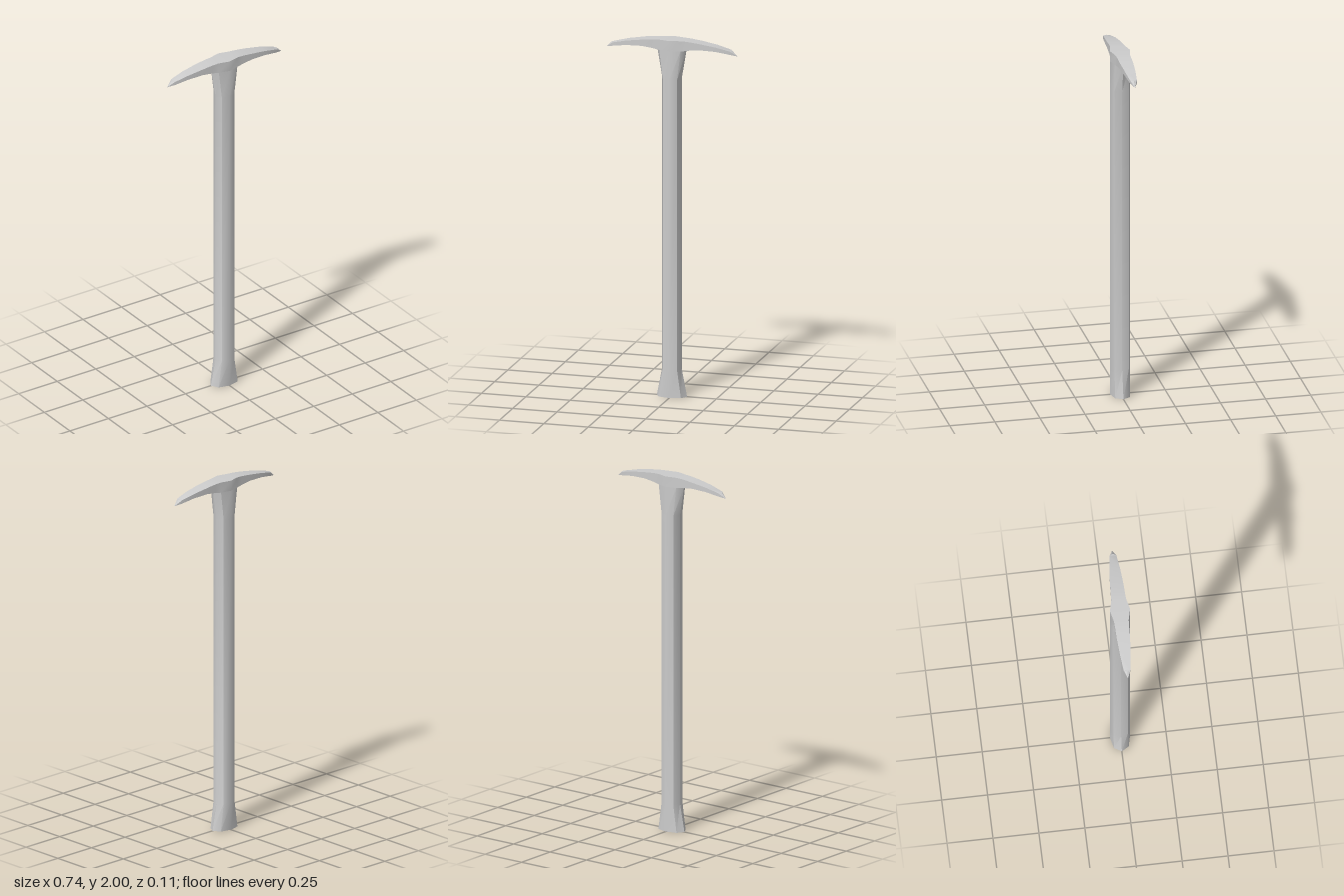
import * as THREE from 'three';
import { mergeGeometries, toCreasedNormals } from 'three/addons/utils/BufferGeometryUtils.js';

const CREASE = Math.PI / 4;

// Eight-sided shaft, flared sideways at both ends
function shaftGeometry() {
  const rings = [[0, 1.55], [0.155, 1], [1.78, 1], [1.943, 1.5]]; // height, sideways stretch
  const geo = new THREE.CylinderGeometry(0.055, 0.055, 3, 8, 3);
  const pos = geo.attributes.position;
  for (let i = 0; i < pos.count; i++) {
    const [y, stretch] = rings[Math.round(pos.getY(i) + 1.5)];
    let x = pos.getX(i), z = pos.getZ(i);
    if (Math.abs(x) > 0.01 && Math.abs(z) > 0.01) {
      x = Math.sign(x) * 0.04;
      z = Math.sign(z) * 0.04;
    }
    pos.setXYZ(i, x * stretch, y, z);
  }
  return toCreasedNormals(geo, CREASE);
}

// Curved double-ended head: one arm lofted from rectangles, then turned for the other
function headGeometry() {
  const stations = [ // x, half width, top, bottom
    [0, 0.055, 2, 1.942],
    [0.062, 0.04, 2, 1.942],
    [0.1, 0.038, 1.998, 1.949],
    [0.16, 0.036, 1.991, 1.956],
    [0.25, 0.029, 1.977, 1.952],
    [0.33, 0.019, 1.958, 1.939],
  ];
  const rings = stations.map(([x, w, t, b]) => [[x, t, w], [x, t, -w], [x, b, -w], [x, b, w]]);
  const verts = [];
  const tri = (a, b, c) => verts.push(...a, ...b, ...c);
  for (let s = 0; s < rings.length - 1; s++) {
    for (let i = 0; i < 4; i++) {
      const j = (i + 1) % 4, p = rings[s], q = rings[s + 1];
      tri(p[i], q[i], q[j]);
      tri(p[i], q[j], p[j]);
    }
  }
  // Bevelled point
  const [tf, tb, bb, bf] = rings[rings.length - 1];
  const ridge = [0.342, 1.957, 0], tip = [0.37, 1.928, 0];
  tri(tf, ridge, tb);
  tri(tf, tip, ridge);
  tri(ridge, tip, tb);
  tri(tb, tip, bb);
  tri(bb, tip, bf);
  tri(bf, tip, tf);

  const arm = new THREE.BufferGeometry();
  arm.setAttribute('position', new THREE.Float32BufferAttribute(verts, 3));
  return toCreasedNormals(mergeGeometries([arm, arm.clone().rotateY(Math.PI)]), CREASE);
}

export function createModel() {
  const group = new THREE.Group();
  group.name = 'pickaxe';
  const material = new THREE.MeshStandardMaterial({ color: 0xcccccc });
  for (const [name, geo] of [['shaft', shaftGeometry()], ['head', headGeometry()]]) {
    const mesh = new THREE.Mesh(geo, material);
    mesh.name = name;
    group.add(mesh);
  }
  return group;
}
